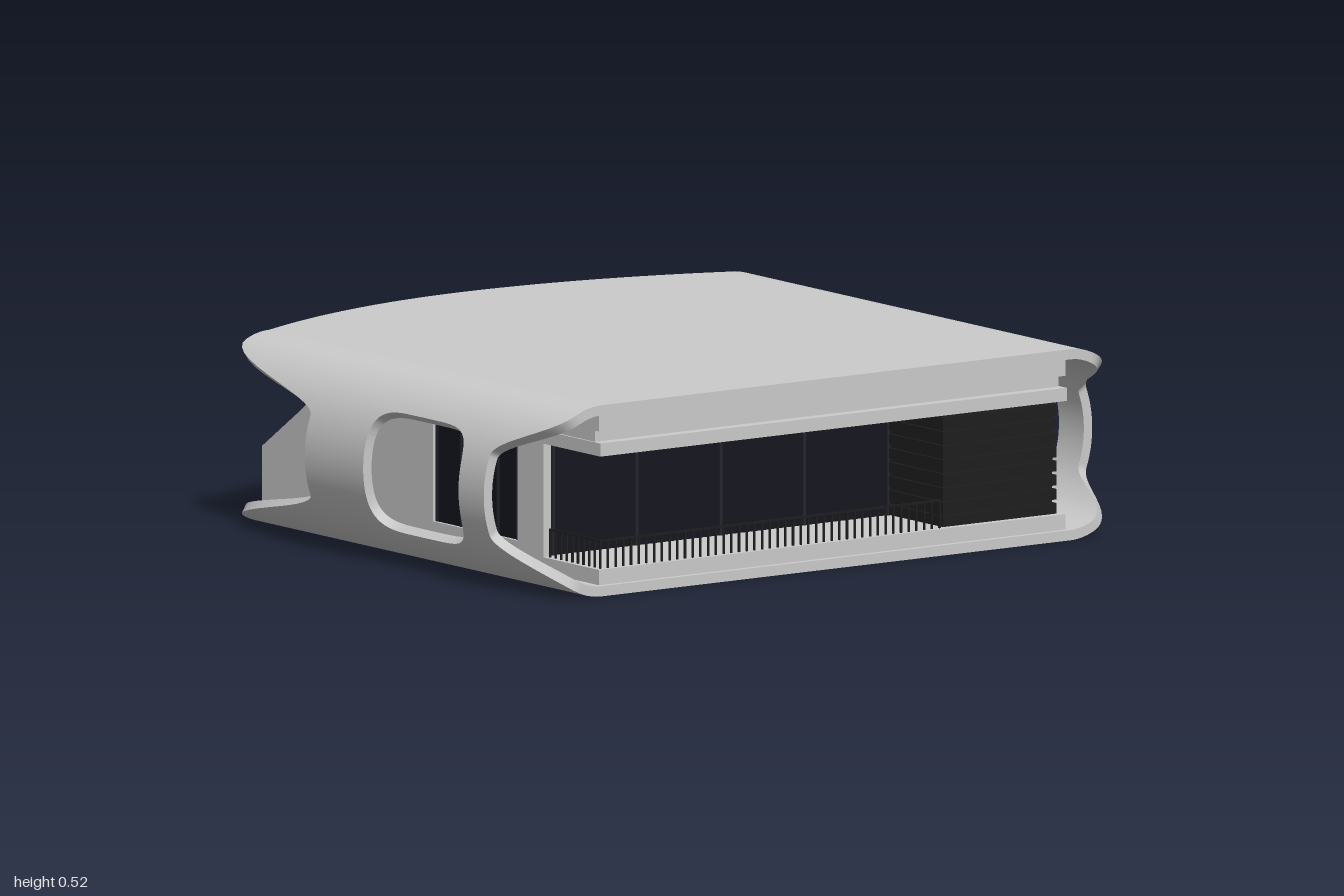
import * as THREE from 'three';
import { mergeGeometries, toCreasedNormals } from 'three/addons/utils/BufferGeometryUtils.js';

const grey = new THREE.MeshStandardMaterial({ color: 0xcccccc, side: THREE.DoubleSide });
const mat = (color) => new THREE.MeshStandardMaterial({ color });
const glass = mat(0x14161f), black = mat(0x1e1e1e), wood = mat(0x8a5028), frameDark = mat(0x24262e);

// Box geometry from its limits on each axis
function span(x0, x1, y0, y1, z0, z1) {
  return new THREE.BoxGeometry(x1 - x0, y1 - y0, z1 - z0)
    .translate((x0 + x1) / 2, (y0 + y1) / 2, (z0 + z1) / 2);
}

// Rows around the stadium section; each holds outer/inner point and x limits
const MID = 0.2625, ZC = 0.785, RZ = 0.215, TH = 0.028;
function shellRows() {
  const rows = [];
  const flat = (dir) => {
    for (let i = 1; i < 32; i++) {
      const z = dir * ZC * (i / 16 - 1);
      const L = -0.865 + (z > 0 ? 0.195 : 0.155) * (z / ZC) ** 2;
      const y = dir > 0 ? 0 : 2 * MID;
      rows.push({ o: [y, z], i: [y + dir * TH, z], L, R: 0.862, wl: 0.28, wr: 0.28 });
    }
  };
  // Rounded end: side cut-outs pull the edges in, a superellipse opens the window
  const end = (dir, e) => {
    const ts = [], tw = Math.asin(e.hd / MID), n = 12;
    for (let i = 0; i < n; i++) ts.push(-Math.PI / 2 + (Math.PI / 2 - tw) * i / n);
    for (let i = 0; i <= 48; i++) ts.push(Math.asin(e.hd / MID * Math.sin((i / 48 - 0.5) * Math.PI)));
    for (let i = 1; i <= n; i++) ts.push(tw + (Math.PI / 2 - tw) * i / n);
    for (const t0 of ts) {
      const t = dir * t0, s = Math.sin(t), c = Math.cos(t), d = Math.abs(s) * MID;
      const f = THREE.MathUtils.smoothstep(d, 0.11, 0.245);
      const w = e.hw * Math.max(0, 1 - (d / e.hd) ** 5) ** 0.2;
      rows.push({
        o: [MID + MID * s, dir * (ZC + RZ * c)],
        i: [MID + (MID - TH) * s, dir * (ZC + (RZ - TH) * c)],
        L: THREE.MathUtils.lerp(e.left, e.leftTop, f),
        R: THREE.MathUtils.lerp(e.right, 0.862, f),
        wl: e.xc - w, wr: e.xc + w,
      });
    }
  };
  flat(1);
  end(1, { left: -0.21, leftTop: -0.67, right: 0.617, xc: 0.28, hw: 0.22, hd: 0.165 });
  flat(-1);
  end(-1, { left: -0.47, leftTop: -0.71, right: 0.665, xc: 0.295, hw: 0.255, hd: 0.175 });
  return rows;
}

function shellGeometry() {
  const rows = shellRows(), pos = [];
  const quad = (a, b, c, d) => pos.push(...a, ...b, ...c, ...a, ...c, ...d);
  rows.forEach((p, k) => {
    const q = rows[(k + 1) % rows.length];
    const at = (r, key, side) => [r[key], ...r[side]];
    for (const [a, b] of [['L', 'wl'], ['wr', 'R']]) {
      quad(at(p, a, 'o'), at(p, b, 'o'), at(q, b, 'o'), at(q, a, 'o'));
      quad(at(p, a, 'i'), at(q, a, 'i'), at(q, b, 'i'), at(p, b, 'i'));
    }
    const open = p.wr - p.wl > 1e-4 || q.wr - q.wl > 1e-4;
    for (const a of open ? ['L', 'wr'] : ['L'])
      quad(at(p, a, 'o'), at(q, a, 'o'), at(q, a, 'i'), at(p, a, 'i'));
    for (const b of open ? ['R', 'wl'] : ['R'])
      quad(at(p, b, 'o'), at(p, b, 'i'), at(q, b, 'i'), at(q, b, 'o'));
  });
  const g = new THREE.BufferGeometry();
  g.setAttribute('position', new THREE.Float32BufferAttribute(pos, 3));
  return toCreasedNormals(g, 0.6);
}

// Side wall with a rectangular window hole
function wallGeometry(points, x0, x1, z) {
  const s = new THREE.Shape(points.map(([x, y]) => new THREE.Vector2(x, y)));
  const h = [[x0, 0.1], [x0, 0.38], [x1, 0.38], [x1, 0.1]];
  s.holes.push(new THREE.Path(h.map(([x, y]) => new THREE.Vector2(x, y))));
  return new THREE.ExtrudeGeometry(s, { depth: 0.025, bevelEnabled: false }).translate(0, 0, z);
}

// Row of balusters with a top rail between two floor points
function railing(x0, z0, x1, z1) {
  const n = Math.round(Math.hypot(x1 - x0, z1 - z0) / 0.026), parts = [], r = 0.0025;
  for (let i = 0; i <= n; i++) {
    const x = x0 + (x1 - x0) * i / n, z = z0 + (z1 - z0) * i / n;
    parts.push(span(x - r, x + r, 0.07, 0.145, z - r, z + r));
  }
  parts.push(span(Math.min(x0, x1) - r, Math.max(x0, x1) + r, 0.143, 0.149,
    Math.min(z0, z1) - r, Math.max(z0, z1) + r));
  return mergeGeometries(parts);
}

export function createModel() {
  const model = new THREE.Group();
  const add = (name, geometry, material = grey) => {
    const m = new THREE.Mesh(geometry, material);
    m.name = name;
    model.add(m);
  };

  add('outerShell', shellGeometry());

  // Floor and stepped ceiling
  add('floorSlab', span(-0.71, 0.845, 0.028, 0.07, -0.78, 0.78));
  add('ceilingSoffit', span(-0.46, 0.852, 0.382, 0.418, -0.78, 0.78));
  add('ceilingRecess', span(-0.46, 0.82, 0.418, 0.45, -0.775, 0.775));
  add('ceilingUpper', span(-0.46, 0.845, 0.45, 0.498, -0.78, 0.78));

  // Side walls; the front one has a sloping end
  add('frontWall', wallGeometry([[-0.71, 0.035], [0.59, 0.035], [0.59, 0.39], [0.59, 0.45],
    [-0.46, 0.45], [-0.46, 0.38], [-0.52, 0.33], [-0.71, 0.2]], 0.08, 0.47, 0.756));
  add('backWall', wallGeometry([[-0.46, 0.035], [0.59, 0.035], [0.59, 0.45], [-0.46, 0.45]],
    0.08, 0.55, -0.781));

  // Window panes with mullions
  for (const [name, x1, z] of [['frontWindow', 0.47, 0.762], ['backWindow', 0.55, -0.772]]) {
    add(name, span(0.08, x1, 0.1, 0.38, z, z + 0.01), glass);
    const bars = [0.09, 0.2, 0.37, x1 - 0.01].map((x) =>
      span(x - 0.004, x + 0.004, 0.1, 0.38, z - 0.003, z + 0.013));
    add(name + 'Mullions', mergeGeometries(bars), frameDark);
  }

  // Long glazed walls on both decks
  for (const [name, x] of [['leftGlazing', 0.57], ['rightGlazing', -0.45]]) {
    add(name, span(x - 0.006, x + 0.006, 0.07, 0.385, -0.755, 0.755), glass);
    const bars = [];
    for (let i = 0; i < 6; i++) {
      const z = 0.74 - i * 0.28;
      bars.push(span(x - 0.011, x + 0.011, 0.07, 0.385, z - 0.004, z + 0.004));
    }
    add(name + 'Mullions', mergeGeometries(bars), frameDark);
  }

  // Louvred corner room: core with overlapping boards
  const boards = [span(0.585, 0.822, 0.07, 0.382, -0.752, -0.388)];
  for (let i = 0; i < 8; i++) {
    const y = 0.072 + i * 0.0387;
    boards.push(span(0.583, 0.832, y, y + 0.029, -0.76, -0.38));
  }
  add('louvredRoom', mergeGeometries(boards), black);

  // Timber screen at the back corner
  const slats = [span(-0.705, -0.695, 0.07, 0.498, -0.78, -0.755)];
  for (let i = 0; i < 21; i++) {
    const y = 0.075 + i * 0.02;
    slats.push(span(-0.7, -0.46, y, y + 0.009, -0.778, -0.758));
  }
  add('timberScreen', mergeGeometries(slats), wood);

  // Deck railings
  add('leftRailing', railing(0.83, -0.37, 0.83, 0.765), black);
  add('leftRailingReturn', railing(0.6, 0.765, 0.83, 0.765), black);
  add('rightRailing', railing(-0.7, -0.75, -0.7, 0.75), black);

  return model;
}
